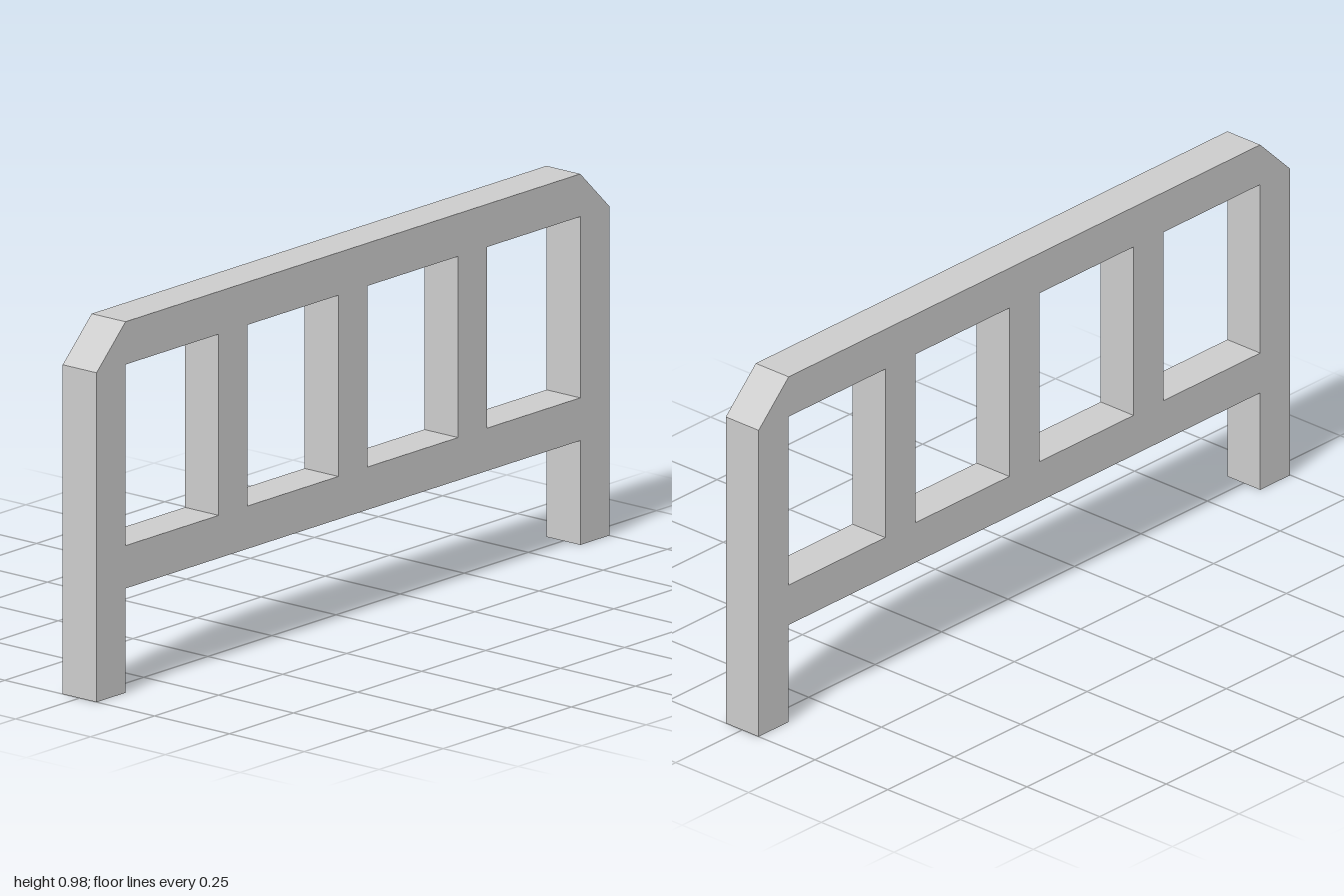
import * as THREE from 'three';

const T = 0.113;          // timber thickness
const H = 0.98;           // overall height
const INNER = 1 - T;      // inner face of the posts
const RAIL_Y = 0.332;     // centre height of the lower rail

export function createModel() {
  const group = new THREE.Group();
  const material = new THREE.MeshStandardMaterial({ color: 0xcccccc, flatShading: true });

  const add = (name, geometry, x, y, z = 0) => {
    const mesh = new THREE.Mesh(geometry, material);
    mesh.name = name;
    mesh.position.set(x, y, z);
    group.add(mesh);
    return mesh;
  };

  // End posts, with the outer top corner cut off at an angle
  for (const [name, s] of [['leftPost', 1], ['rightPost', -1]]) {
    const outline = new THREE.Shape([
      [INNER, 0], [1, 0], [1, H - T + 0.003], [INNER, H],
    ].map(([x, y]) => new THREE.Vector2(s * x, y)));
    const post = new THREE.ExtrudeGeometry(outline, { depth: T, bevelEnabled: false });
    add(name, post, 0, 0, -T / 2);
  }

  // Horizontal rails between the posts
  const rail = new THREE.BoxGeometry(2 * INNER, T, T);
  add('topRail', rail, 0, H - T / 2);
  add('lowerRail', rail, 0, RAIL_Y);

  // Three upright bars between the rails
  const bottom = RAIL_Y + T / 2;
  const top = H - T;
  const bar = new THREE.BoxGeometry(T, top - bottom, T);
  for (const i of [-1, 0, 1]) add('uprightBar', bar, i * 0.467, (bottom + top) / 2);

  return group;
}
